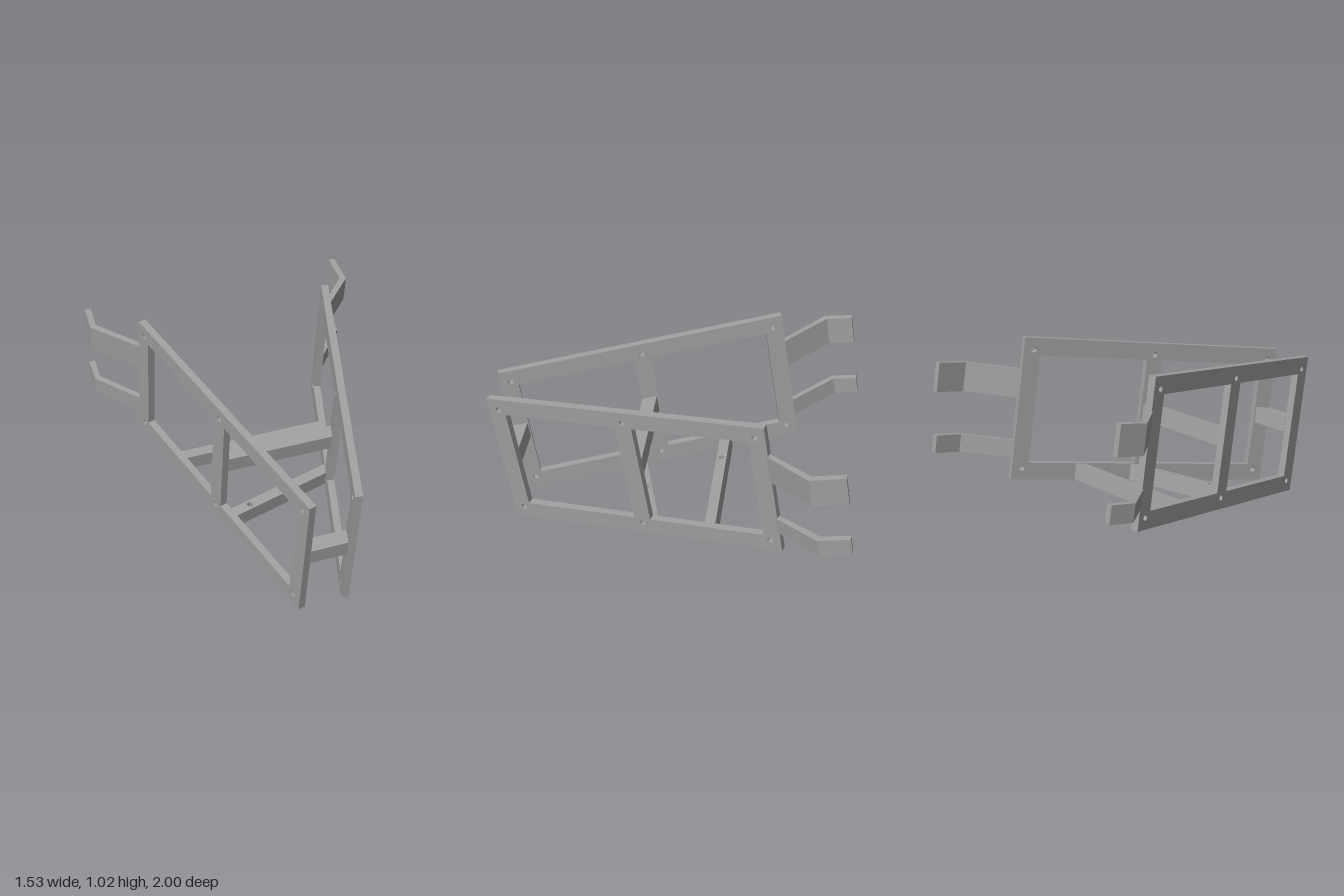
import * as THREE from 'three';

const LENGTH = 1.583, HEIGHT = 0.79, THICK = 0.04, BAR = 0.095;
const SPLAY = Math.PI / 12, TILT = Math.PI / 20;

export function createModel() {
  const steel = new THREE.MeshStandardMaterial({ color: 0xa0a0a0 });
  steel.name = 'grey steel';
  const model = new THREE.Group();
  model.name = 'splayedFrame';

  // Whole assembly is built level, then pitched so its rear rises
  const body = new THREE.Group();
  body.name = 'tiltedAssembly';
  body.position.set(0, 0, 0.875);
  body.rotation.x = TILT;
  model.add(body);

  const add = (name, geometry) => {
    const mesh = new THREE.Mesh(geometry, steel);
    mesh.name = name;
    body.add(mesh);
    return mesh;
  };
  const polygon = (points) => new THREE.Shape(points.map(([x, y]) => new THREE.Vector2(x, y)));
  const rectangle = (x0, y0, x1, y1) => polygon([[x0, y0], [x1, y0], [x1, y1], [x0, y1]]);
  const drill = (shape, x, y, r = 0.016) =>
    shape.holes.push(new THREE.Path().absarc(x, y, r, 0, Math.PI * 2, true));
  const extrude = (shape, depth) =>
    new THREE.ExtrudeGeometry(shape, { depth, bevelEnabled: false, curveSegments: 10 });
  // Plan outline (x, distance backwards) raised upwards
  const raise = (shape, height) => extrude(shape, height).rotateX(-Math.PI / 2);

  // Side panels: outer rectangle with two windows and six bolt holes
  const panel = rectangle(0, 0, LENGTH, HEIGHT);
  const mid = LENGTH / 2;
  panel.holes.push(
    rectangle(BAR, BAR, mid - BAR / 2, HEIGHT - BAR),
    rectangle(mid + BAR / 2, BAR, LENGTH - BAR, HEIGHT - BAR)
  );
  for (const u of [0.058, mid, LENGTH - 0.058]) {
    // bolt holes sit within the top and bottom rails
    drill(panel, u, 0.065);
    drill(panel, u, HEIGHT - 0.065);
  }
  const panelGeometry = extrude(panel, THICK);
  const left = add('leftSidePanel', panelGeometry);
  left.rotation.y = Math.PI / 2 - SPLAY;
  left.position.set(0.14 - THICK * Math.cos(SPLAY), 0, -THICK * Math.sin(SPLAY));
  const right = add('rightSidePanel', panelGeometry);
  right.rotation.y = Math.PI / 2 + SPLAY;
  right.position.set(-0.14, 0, 0);

  // Cross bars joining the two panels
  const crossBar = (name, halfWidth, depth, height, y, z, holes = []) => {
    const shape = rectangle(-halfWidth, -depth / 2, halfWidth, depth / 2);
    holes.forEach((x) => drill(shape, x, 0));
    const mesh = add(name, raise(shape, height));
    mesh.position.set(0, y, z);
    return mesh;
  };
  crossBar('frontCrossBar', 0.12, 0.085, 0.09, 0.35, -0.055);
  crossBar('middleCrossBar', 0.315, 0.08, 0.09, 0.35, -0.77);
  crossBar('rearCrossBar', 0.418, 0.058, 0.09, 0.002, -1.143, [-0.18]);
  const brace = crossBar('diagonalBrace', 0.318, 0.06, 0.09, 0.002, -0.737, [-0.2, 0.04]);
  brace.position.x = 0.02;
  brace.rotation.y = SPLAY;

  // Bent rear arms: outward leg, then a tab pointing backwards
  const arm = (name, side, bendX, tipX, tipZ, y, height) => {
    const t = 0.034;
    const points = [
      [0.543, 1.515], [bendX, 1.745], [tipX, tipZ],
      [tipX - t, tipZ], [bendX - t, 1.759], [0.518, 1.53]
    ].map(([x, z]) => [side * x, z]);
    add(name, raise(polygon(points), height)).position.y = y;
  };
  arm('leftUpperArm', 1, 0.76, 0.758, 1.93, 0.455, 0.16);
  arm('leftLowerArm', 1, 0.742, 0.742, 1.915, 0.122, 0.097);
  arm('rightUpperArm', -1, 0.766, 0.757, 1.9, 0.455, 0.16);
  arm('rightLowerArm', -1, 0.75, 0.745, 1.89, 0.122, 0.097);

  return model;
}
